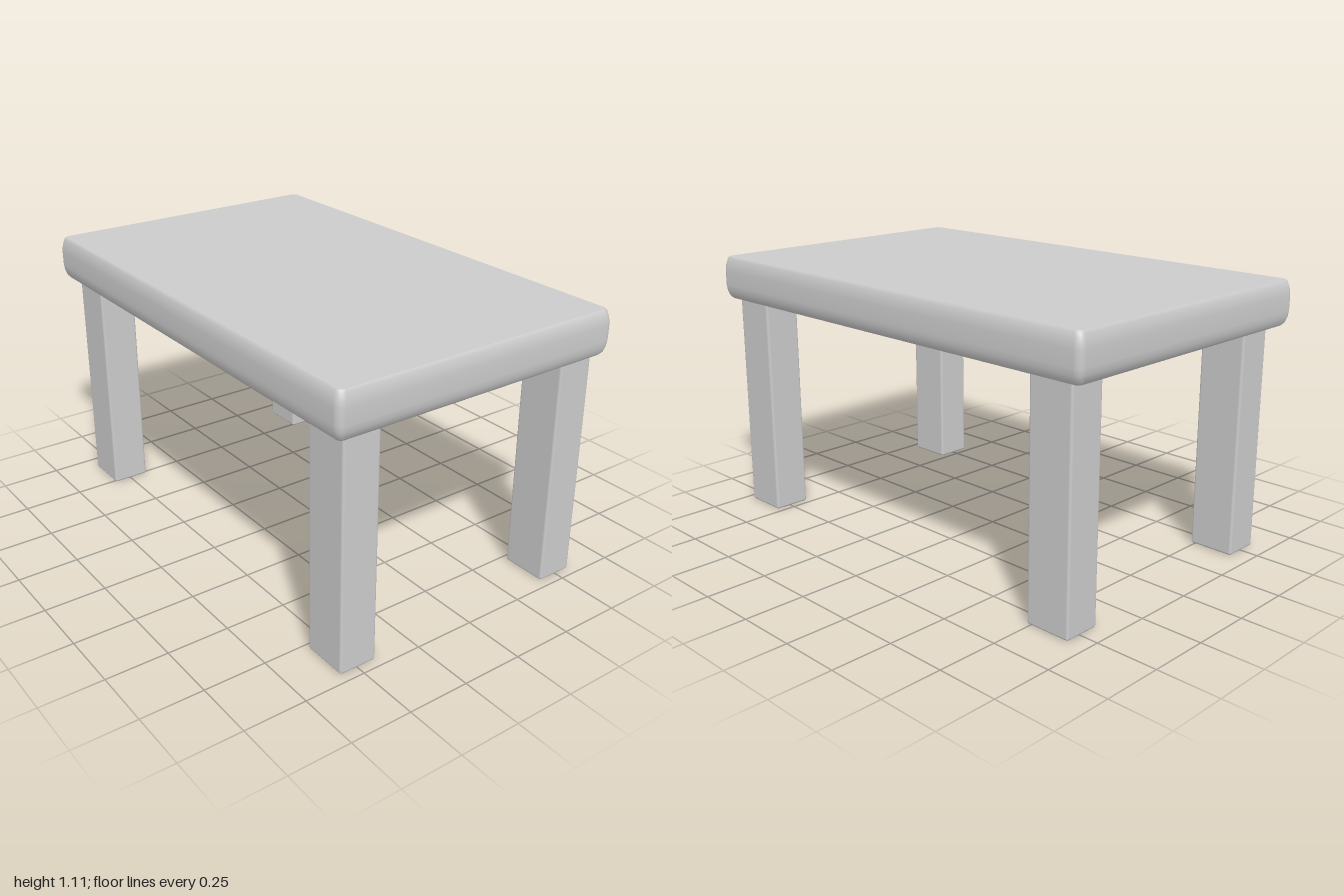
import * as THREE from 'three';
import { RoundedBoxGeometry } from 'three/addons/geometries/RoundedBoxGeometry.js';

// One horizontal rounded-rectangle loop at height y
function ring(halfX, halfZ, radius, y, steps = 4) {
  const points = [];
  const corners = [[1, 1], [-1, 1], [-1, -1], [1, -1]];
  corners.forEach(([sx, sz], k) => {
    for (let j = 0; j <= steps; j++) {
      const a = (k + j / steps) * Math.PI / 2;
      points.push([
        sx * (halfX - radius) + Math.cos(a) * radius, y,
        sz * (halfZ - radius) + Math.sin(a) * radius,
      ]);
    }
  });
  return points;
}

// Slab with a softly bulging edge: profile rows are [inset, y], top to bottom
function slabGeometry(halfX, halfZ, radius, profile) {
  const rings = profile.map(([inset, y]) => ring(halfX - inset, halfZ - inset, radius - inset / 2, y));
  const n = rings[0].length;
  const positions = rings.flat(2);
  const index = [];
  for (let r = 0; r < rings.length - 1; r++) {
    for (let i = 0; i < n; i++) {
      const j = (i + 1) % n;
      const a = r * n + i, b = r * n + j, c = a + n, d = b + n;
      index.push(a, b, c, b, d, c);
    }
  }
  // Flat caps with their own vertices, so their rims stay crisp
  const addCap = (loop, up) => {
    const start = positions.length / 3;
    positions.push(...loop.flat(), 0, loop[0][1], 0);
    for (let i = 0; i < n; i++) {
      const a = start + i, b = start + (i + 1) % n;
      index.push(start + n, up ? b : a, up ? a : b);
    }
  };
  addCap(rings[0], true);
  addCap(rings[rings.length - 1], false);

  const geometry = new THREE.BufferGeometry();
  geometry.setAttribute('position', new THREE.Float32BufferAttribute(positions, 3));
  geometry.setIndex(index);
  geometry.computeVertexNormals();
  return geometry;
}

export function createModel() {
  const model = new THREE.Group();
  model.name = 'table';
  const grey = new THREE.MeshStandardMaterial({ color: 0xcccccc });
  grey.name = 'light grey';

  // Table top
  const top = new THREE.Mesh(slabGeometry(0.625, 1, 0.03, [
    [0.018, 1.109], [0.01, 1.1], [0.003, 1.075], [0, 1.05],
    [0, 0.99], [0.003, 0.965], [0.011, 0.942], [0.022, 0.93],
  ]), grey);
  top.name = 'tableTop';
  model.add(top);

  // Four legs, reaching just inside the top
  const legHeight = 0.95;
  const legGeometry = new RoundedBoxGeometry(0.155, legHeight, 0.191, 2, 0.01);
  for (const [zName, z] of [['front', 0.867], ['back', -0.829]]) {
    for (const [xName, x] of [['Left', 0.492], ['Right', -0.498]]) {
      const leg = new THREE.Mesh(legGeometry, grey);
      leg.name = `${zName}${xName}Leg`;
      leg.position.set(x, legHeight / 2, z);
      model.add(leg);
    }
  }
  return model;
}
